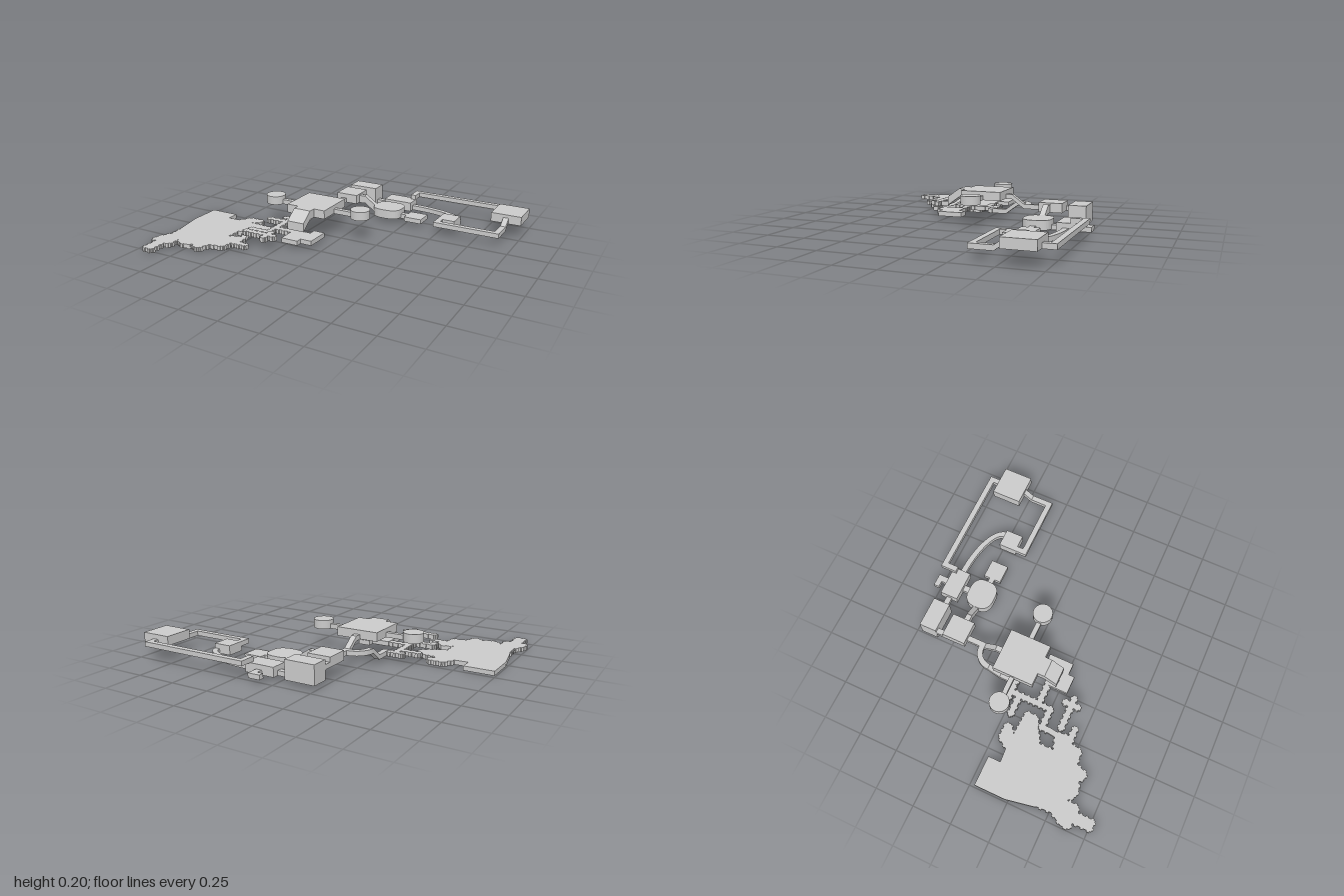
import * as THREE from 'three';

const material = new THREE.MeshStandardMaterial({ color: 0xcccccc });

export function createModel() {
  const group = new THREE.Group();
  const add = (name, geometry) => {
    const mesh = new THREE.Mesh(geometry, material);
    mesh.name = name;
    group.add(mesh);
    return mesh;
  };

  // Axis-aligned block given by its limits
  const block = (name, x0, x1, z0, z1, y0, y1) =>
    add(name, new THREE.BoxGeometry(x1 - x0, y1 - y0, z1 - z0)
      .translate((x0 + x1) / 2, (y0 + y1) / 2, (z0 + z1) / 2));

  // Sheared block: bottom runs from ya to yb along the given axis
  const ramp = (name, axis, x0, x1, z0, z1, ya, yb, t) => {
    const g = new THREE.BoxGeometry(x1 - x0, t, z1 - z0);
    const p = g.attributes.position;
    for (let i = 0; i < p.count; i++) {
      const atEnd = (axis === 'x' ? p.getX(i) : p.getZ(i)) > 0;
      p.setY(i, p.getY(i) + t / 2 + (atEnd ? yb : ya));
    }
    g.translate((x0 + x1) / 2, 0, (z0 + z1) / 2);
    g.computeVertexNormals();
    add(name, g);
  };

  // Flat slab from a plan shape drawn in (x, -z)
  const slab = (name, shape, y0, y1) =>
    add(name, new THREE.ExtrudeGeometry(shape, { depth: y1 - y0, bevelEnabled: false, curveSegments: 12 })
      .rotateX(-Math.PI / 2).translate(0, y0, 0));

  // Slab with small square teeth along its edges, the first few edges left plain
  const jagged = (name, pts, y0, y1, plain = 0) => {
    const area = pts.reduce((s, [x, z], i) => {
      const [u, v] = pts[(i + 1) % pts.length];
      return s + x * v - u * z;
    }, 0);
    const out = [];
    pts.forEach(([x, z], i) => {
      const [u, v] = pts[(i + 1) % pts.length];
      const dx = u - x, dz = v - z, len = Math.hypot(dx, dz);
      const k = 0.008 * Math.sign(area) / len;
      const n = i < plain ? 0 : Math.floor(len / 0.032);
      out.push(new THREE.Vector2(x, -z));
      for (let j = 0; j < n; j++) {
        for (const [f, d] of [[0.28, 0], [0.28, 1], [0.72, 1], [0.72, 0]]) {
          const t = (j + f) / n;
          out.push(new THREE.Vector2(x + dx * t + dz * k * d, -(z + dz * t - dx * k * d)));
        }
      }
    });
    slab(name, new THREE.Shape(out), y0, y1);
  };

  // Curved corridor: elliptical ring sector, angles measured in (x, -z)
  const bend = (name, x, z, rx, rz, w, a0, a1, y0, y1) => {
    const s = new THREE.Shape();
    s.absellipse(x, -z, rx, rz, a0, a1, false, 0);
    s.absellipse(x, -z, rx - w, rz - w, a1, a0, true, 0);
    slab(name, s, y0, y1);
  };

  // Upper hall with two round side chambers
  block('mainHall', -0.33, -0.06, -0.16, 0.105, 0.15, 0.205);
  for (const [side, x, c0, c1] of [['right', -0.505, -0.46, -0.33], ['left', 0.12, -0.06, 0.075]]) {
    add(side + 'RoundChamber', new THREE.CylinderGeometry(0.062, 0.062, 0.055, 32).translate(x, 0.1775, -0.03));
    block(side + 'ChamberPassage', c0, c1, -0.045, -0.015, 0.15, 0.18);
  }

  // Front stair and lower room
  block('stairLanding', -0.25, -0.135, 0.105, 0.15, 0.15, 0.205);
  ramp('frontStair', 'z', -0.25, -0.135, 0.15, 0.23, 0.15, 0.092, 0.055);
  slab('lowerRoom', new THREE.Shape([[-0.25, 0.15], [-0.135, 0.15], [-0.135, 0.105], [-0.06, 0.105],
    [-0.06, 0.265], [-0.135, 0.265], [-0.135, 0.305], [-0.25, 0.305]]
    .map(([x, z]) => new THREE.Vector2(x, -z))), 0.03, 0.06);

  // Passages leading back from the hall
  block('hallPassage', -0.215, -0.18, -0.2, -0.16, 0.148, 0.178);
  ramp('hallRamp', 'z', -0.215, -0.18, -0.28, -0.2, 0.09, 0.148, 0.03);
  block('backPassage', -0.215, -0.18, -0.4, -0.28, 0.09, 0.12);
  bend('curvedPassage', -0.215, -0.2, 0.115, 0.115, 0.035, Math.PI / 2, Math.PI, 0.09, 0.12);
  ramp('lowRamp', 'z', -0.33, -0.295, -0.2, -0.12, 0.09, 0.03, 0.03);
  block('lowPassage', -0.33, -0.295, -0.12, 0, 0.03, 0.06);

  // Back rooms
  block('squareRoom', -0.25, -0.1, -0.55, -0.4, 0.09, 0.15);
  block('squareRoomLink', -0.25, -0.215, -0.6, -0.55, 0.09, 0.12);
  block('tallRoom', -0.25, -0.055, -0.71, -0.6, 0.03, 0.15);
  block('tallRoomLink', -0.055, 0.02, -0.67, -0.635, 0.03, 0.06);
  block('backRoom', 0.02, 0.215, -0.71, -0.595, 0.03, 0.09);
  block('backStubLeg', 0.1, 0.14, -0.785, -0.71, 0.03, 0.06);
  block('backStubEnd', 0.06, 0.1, -0.785, -0.75, 0.03, 0.06);
  block('roundedRoomLink', 0.1, 0.14, -0.595, -0.545, 0.03, 0.06);
  block('squareRoomPassage', -0.1, -0.06, -0.475, -0.44, 0.09, 0.14);
  ramp('roundedRoomRamp', 'x', -0.06, 0.025, -0.475, -0.44, 0.095, 0.037, 0.05);

  // Rounded room and its small side room
  const oval = new THREE.Shape();
  for (let i = 0; i < 40; i++) {
    const a = i * Math.PI / 20, c = Math.cos(a), s = Math.sin(a);
    const x = 0.1175 + 0.0975 * Math.sign(c) * Math.abs(c) ** 0.72;
    const y = 0.4625 + 0.088 * Math.sign(s) * Math.abs(s) ** 0.72;
    i ? oval.lineTo(x, y) : oval.moveTo(x, y);
  }
  slab('roundedRoom', oval, 0.035, 0.093);
  block('sideRoomLink', 0.21, 0.255, -0.475, -0.44, 0.03, 0.06);
  block('sideRoom', 0.255, 0.375, -0.515, -0.4, 0.03, 0.06);

  // Far loop of corridors
  bend('sweepingPassage', 0.215, -0.515, 0.39, 0.155, 0.036, 0, Math.PI / 2, 0.03, 0.06);
  block('cornerRoom', 0.49, 0.605, -0.515, -0.4, 0.03, 0.09);
  block('cornerLeg', 0.49, 0.525, -0.4, -0.36, 0.06, 0.09);
  block('frontCorridor', 0.49, 0.92, -0.36, -0.325, 0.06, 0.09);
  block('frontCorridorLeg', 0.885, 0.92, -0.465, -0.36, 0.06, 0.09);
  ramp('farRamp', 'z', 0.885, 0.92, -0.52, -0.465, 0.1, 0.06, 0.03);
  block('farRoom', 0.805, 1, -0.71, -0.52, 0.092, 0.15);
  block('farRoomLeg', 0.885, 0.92, -0.75, -0.71, 0.09, 0.12);
  block('rearCorridor', 0.18, 0.92, -0.785, -0.75, 0.09, 0.12);
  block('rearCorridorLeg', 0.18, 0.215, -0.75, -0.68, 0.09, 0.12);

  // Large cavern at the lowest level
  jagged('cavern', [[-0.956, 0.41], [-0.99, 0.23], [-0.99, 0.03], [-0.8, 0.03], [-0.8, 0.11], [-0.715, 0.105],
    [-0.67, 0.035], [-0.57, 0.035], [-0.56, 0.07], [-0.61, 0.11], [-0.45, 0.12], [-0.45, 0.2], [-0.6, 0.28],
    [-0.6, 0.37], [-0.525, 0.345], [-0.49, 0.345], [-0.48, 0.42], [-0.41, 0.425], [-0.41, 0.455], [-0.52, 0.46],
    [-0.53, 0.53], [-0.62, 0.54], [-0.645, 0.615], [-0.685, 0.615], [-0.71, 0.59], [-0.755, 0.61], [-0.8, 0.61],
    [-0.84, 0.57], [-0.84, 0.645], [-0.88, 0.66], [-0.88, 0.77], [-0.95, 0.77], [-0.95, 0.65], [-0.99, 0.65],
    [-0.99, 0.59], [-0.945, 0.51], [-0.95, 0.42]], 0, 0.028, 5);
  ramp('cavernRamp', 'z', -0.525, -0.49, 0.3, 0.345, 0.03, 0, 0.028);

  // Rough tunnels between cavern and hall
  jagged('roughTunnel', [[-0.525, 0.3], [-0.49, 0.3], [-0.49, 0.27], [-0.37, 0.27], [-0.37, 0.19], [-0.25, 0.19],
    [-0.25, 0.155], [-0.365, 0.155], [-0.365, 0], [-0.295, 0], [-0.295, -0.035], [-0.44, -0.035], [-0.44, 0],
    [-0.4, 0], [-0.4, 0.025], [-0.525, 0.025], [-0.525, 0.06], [-0.4, 0.06], [-0.4, 0.235], [-0.525, 0.235]],
  0.03, 0.058, 1);
  jagged('crossTunnel', [[-0.485, 0.345], [-0.33, 0.345], [-0.325, 0.3], [-0.3, 0.3], [-0.295, 0.345],
    [-0.25, 0.35], [-0.25, 0.375], [-0.295, 0.38], [-0.3, 0.425], [-0.325, 0.425], [-0.33, 0.38], [-0.485, 0.38]],
  0.06, 0.09);

  return group;
}
